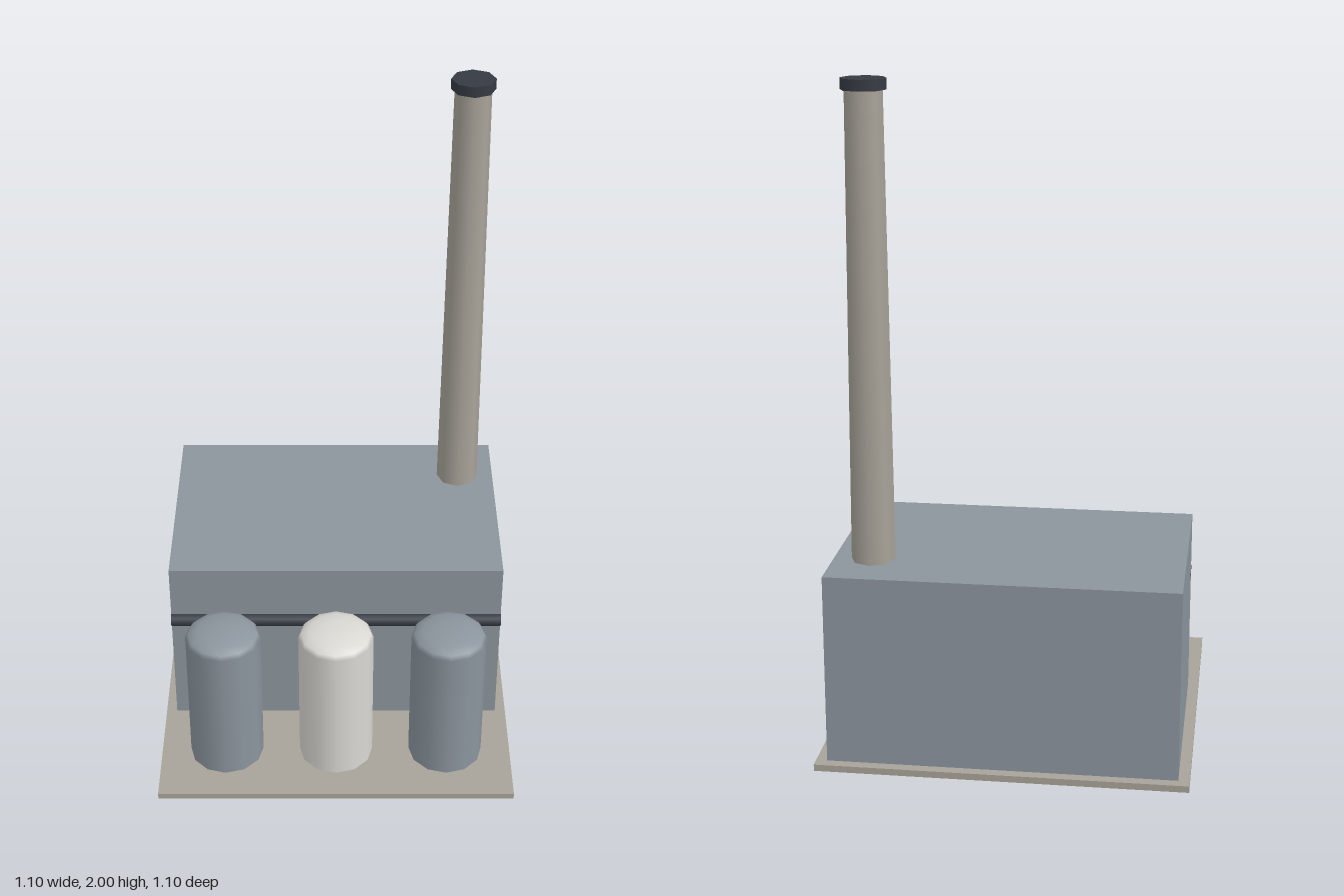
import * as THREE from 'three';

const material = (name, color) => {
  const m = new THREE.MeshStandardMaterial({ color });
  m.name = name;
  return m;
};

export function createModel() {
  const model = new THREE.Group();
  model.name = 'powerPlant';

  const concrete = material('concrete', 0xa8a399);
  const steel = material('blueGreySteel', 0x8b959d);
  const white = material('offWhite', 0xd9d8d3);
  const dark = material('darkMetal', 0x363b43);

  const add = (name, geometry, mat, x, y, z, parent = model) => {
    const mesh = new THREE.Mesh(geometry, mat);
    mesh.name = name;
    mesh.position.set(x, y, z);
    parent.add(mesh);
    return mesh;
  };

  // Ground slab and main hall
  add('baseSlab', new THREE.BoxGeometry(1.1, 0.02, 1.1), concrete, 0, 0.01, 0);
  add('hall', new THREE.BoxGeometry(1.034, 0.576, 0.69), steel, 0, 0.308, -0.173);

  // Tapered chimney with a dark cap
  add('chimney', new THREE.CylinderGeometry(0.055, 0.066, 1.374, 8), concrete, 0.4, 1.283, -0.345);
  add('chimneyCap', new THREE.CylinderGeometry(0.066, 0.066, 0.032, 8), dark, 0.4, 1.984, -0.345);

  // Pipe along the front wall of the hall
  const pipe = add('pipe', new THREE.CylinderGeometry(0.021, 0.021, 1.034, 8), dark, 0, 0.404, 0.173);
  pipe.rotation.z = Math.PI / 2;

  // Row of storage tanks with shallow domes
  const radius = 0.115, bodyTop = 0.476, domeHeight = 0.035;
  const body = new THREE.CylinderGeometry(radius, radius, bodyTop - 0.02, 12);
  const dome = new THREE.SphereGeometry(radius, 12, 4, 0, Math.PI * 2, 0, Math.PI / 2);
  dome.scale(1, domeHeight / radius, 1);
  [-1, 0, 1].forEach((i) => {
    const tank = new THREE.Group();
    tank.name = ['rightTank', 'middleTank', 'leftTank'][i + 1];
    tank.position.set(i * 0.345, 0, 0.343);
    const mat = i === 0 ? white : steel;
    add('tankBody', body, mat, 0, (bodyTop + 0.02) / 2, 0, tank);
    add('tankDome', dome, mat, 0, bodyTop, 0, tank);
    model.add(tank);
  });

  return model;
}
